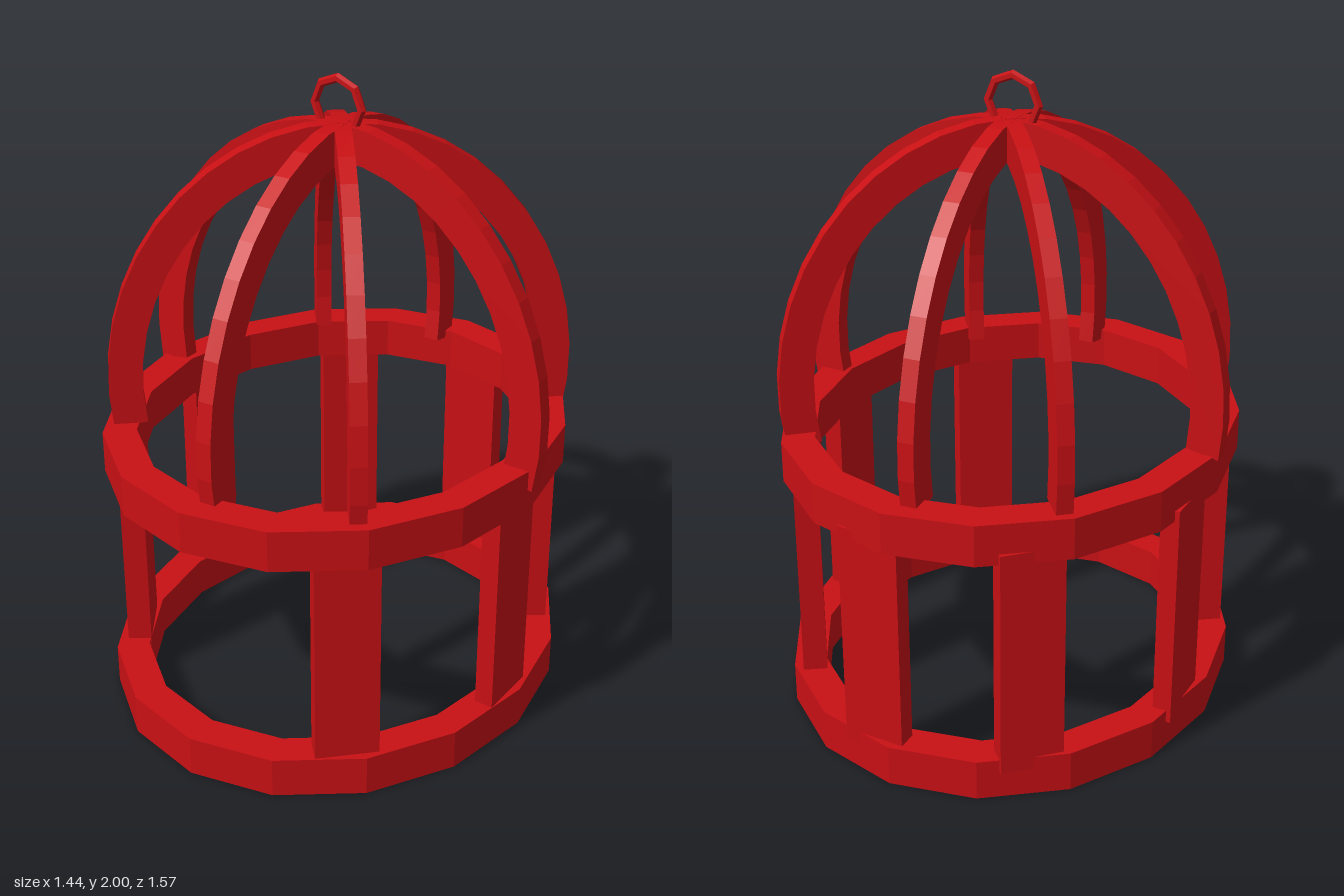
import * as THREE from 'three';

export function createModel() {
  const model = new THREE.Group();
  const red = new THREE.MeshStandardMaterial({ color: 0xc81014, flatShading: true });
  const rad = THREE.MathUtils.degToRad;

  function add(name, geometry, x = 0, y = 0, z = 0, turn = 0) {
    const mesh = new THREE.Mesh(geometry, red);
    mesh.name = name;
    mesh.position.set(x, y, z);
    mesh.rotation.y = turn;
    model.add(mesh);
    return mesh;
  }

  // Sixteen-sided oval hoops at the foot and the waist
  const oval = (rx, rz) => Array.from({ length: 16 }, (_, i) => {
    const a = (i / 16) * Math.PI * 2;
    return new THREE.Vector2(rx * Math.cos(a), rz * Math.sin(a));
  });
  const hoopShape = new THREE.Shape(oval(0.695, 0.785));
  hoopShape.holes.push(new THREE.Path(oval(0.595, 0.675)));
  const hoop = new THREE.ExtrudeGeometry(hoopShape, { depth: 0.13, bevelEnabled: false });
  hoop.rotateX(-Math.PI / 2);
  add('lowerHoop', hoop, -0.01, 0, 0);
  add('upperHoop', hoop, -0.01, 0.795, 0);

  // Flat posts between the hoops, with an open gap at the front: x, z, facing angle, thickness
  const posts = [
    [0.4, 0.55, 45, 0.07],
    [0.63, 0.033, 90, 0.06],
    [0.465, -0.465, 125, 0.075],
    [0.055, -0.73, 180, 0.06],
    [-0.385, -0.6, 225, 0.07],
    [-0.65, -0.13, 270, 0.06],
    [-0.53, 0.395, 305, 0.075],
  ];
  for (const [x, z, facing, thick] of posts) {
    add('post', new THREE.BoxGeometry(0.195, 0.74, thick), x, 0.46, z, rad(facing));
  }

  // Curved dome ribs meeting at the crown
  const crownX = -0.005, crownZ = -0.008, springY = 1.05;
  function ribGeometry(endY) {
    const point = (a, rx, ry) => new THREE.Vector2(rx * Math.cos(a), ry * Math.sin(a));
    const start = Math.asin((endY - springY) / 0.81);
    const steps = 12, outer = [], inner = [];
    for (let i = 0; i <= steps; i++) {
      const a = start + (Math.PI / 2 - start) * (i / steps);
      outer.push(point(a, 0.72, 0.81));
      inner.unshift(point(a, 0.615, 0.7));
    }
    const shape = new THREE.Shape([...outer, ...inner]);
    const geometry = new THREE.ExtrudeGeometry(shape, { depth: 0.05, bevelEnabled: false });
    return geometry.translate(0, 0, -0.025);
  }
  for (const degrees of [0, 42.8, 94.5, 130.5, 180, 222.7, 272.5, 308.8]) {
    const a = rad(degrees);
    add('domeRib', ribGeometry(0.888 - 0.028 * Math.cos(a)), crownX, springY, crownZ, a);
  }

  // Hanging loop on the crown
  add('hangingLoop', new THREE.TorusGeometry(0.083, 0.014, 6, 8), -0.017, 1.903, -0.008);

  return model;
}
